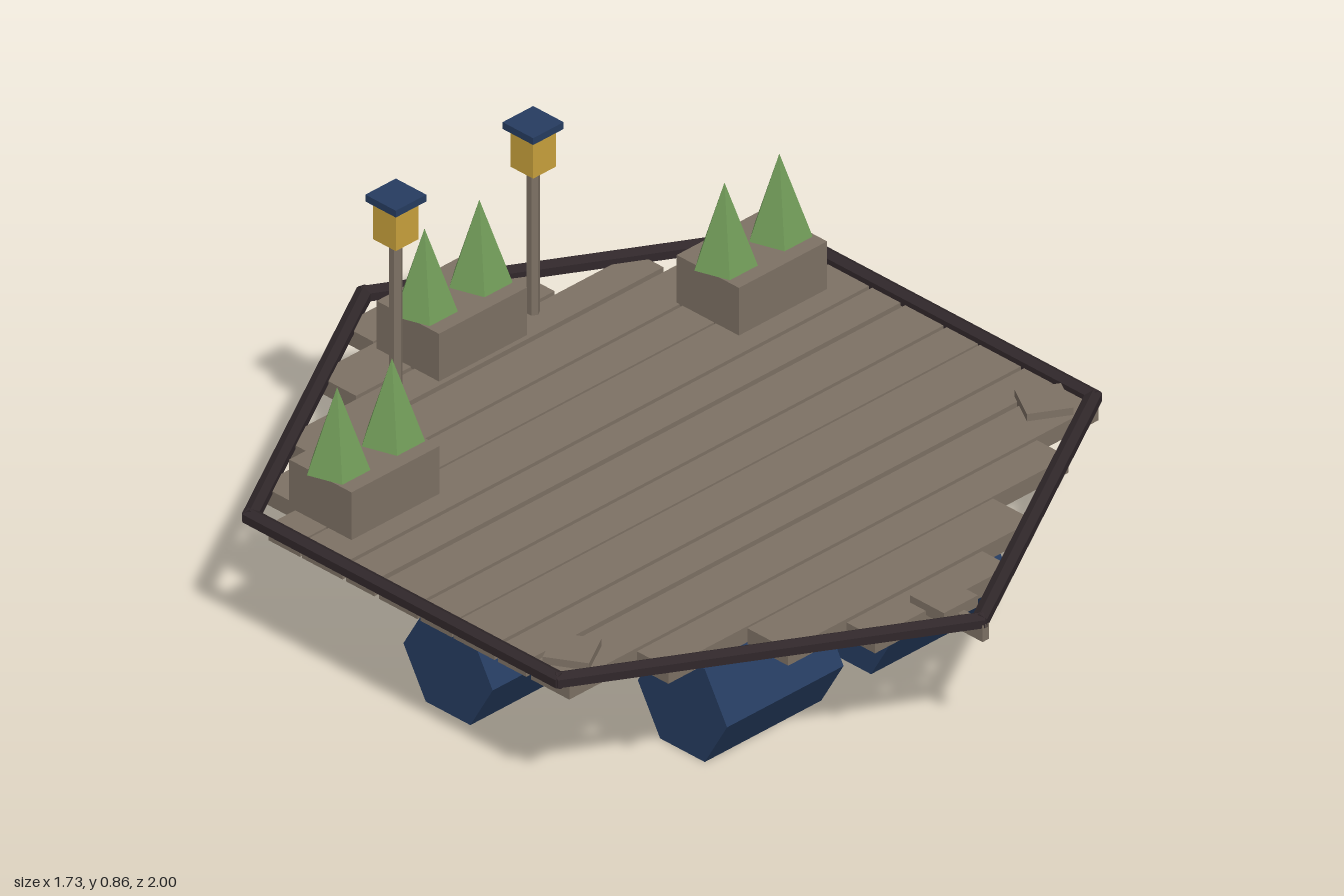
import * as THREE from 'three';

const material = (name, color) => {
  const m = new THREE.MeshStandardMaterial({ color, flatShading: true });
  m.name = name;
  return m;
};

export function createModel() {
  const wood = material('weathered wood', 0x7d7164);
  const rim = material('dark rim', 0x30272a);
  const navy = material('navy', 0x263c60);
  const gold = material('lantern gold', 0xc9a23c);
  const leaf = material('leaf green', 0x709a58);

  const model = new THREE.Group();
  model.name = 'raft';

  const add = (name, geometry, mat, x, y, z, parent = model) => {
    const mesh = new THREE.Mesh(geometry, mat);
    mesh.name = name;
    mesh.position.set(x, y, z);
    parent.add(mesh);
    return mesh;
  };
  const group = (name, x, y, z) => {
    const g = new THREE.Group();
    g.name = name;
    g.position.set(x, y, z);
    model.add(g);
    return g;
  };

  // Deck planks, widths repeating in fours, cut to follow the hexagon
  const plankWidths = [0.1, 0.13, 0.09, 0.122];
  const halfLengths = [0.125, 0.315, 0.56, 0.735, 0.84, 0.84, 0.84, 0.84,
    0.84, 0.84, 0.84, 0.84, 0.635, 0.39, 0.215, 0.01];
  const deckTop = 0.362;
  halfLengths.forEach((half, i) => {
    add('plank', new THREE.BoxGeometry(half * 2, 0.042, plankWidths[i % 4]), wood,
      0, deckTop - 0.021, -0.875 + i * 0.1208);
  });

  // Rim rails along the six sides
  const radius = 0.98;
  for (let i = 0; i < 6; i++) {
    const a = (i + 0.5) * Math.PI / 3 + Math.PI / 6;
    const apothem = radius * Math.cos(Math.PI / 6);
    const side = group('rimSide', Math.cos(a) * apothem, 0.365, Math.sin(a) * apothem);
    side.rotation.y = -a;
    const rail = add('rimRail', new THREE.CylinderGeometry(0.021, 0.021, radius + 0.015, 6), rim, 0, 0, 0, side);
    rail.rotation.x = Math.PI / 2;
  }

  // Corner pads on the front three corners
  for (const deg of [30, 90, 150]) {
    const a = deg * Math.PI / 180;
    const pad = add('cornerPad', new THREE.BoxGeometry(0.108, 0.03, 0.108), wood,
      Math.cos(a) * 0.865, 0.366, Math.sin(a) * 0.865);
    pad.rotation.y = -a;
  }

  // Seven hexagonal floats in rows of two, three and two
  const floatGeometry = new THREE.CylinderGeometry(0.142, 0.142, 0.37, 6);
  floatGeometry.rotateZ(Math.PI / 2);
  const rows = [[-0.483, [-0.264, 0.264]], [0, [-0.526, 0, 0.526]], [0.483, [-0.264, 0.264]]];
  for (const [z, xs] of rows) {
    for (const x of xs) add('float', floatGeometry, navy, x, 0.123, z);
  }

  // Planters with two small trees each
  for (const [x, z] of [[-0.615, -0.362], [0, -0.7], [0.615, -0.362]]) {
    const planter = group('planter', x, 0, z);
    add('planterBox', new THREE.BoxGeometry(0.28, 0.13, 0.198), wood, 0, 0.423, 0, planter);
    for (const s of [-1, 1]) {
      const tree = add('tree', new THREE.ConeGeometry(0.076, 0.212, 5), leaf, s * 0.087, 0.594, 0, planter);
      tree.rotation.y = Math.PI;
    }
  }

  // Lantern posts
  for (const s of [-1, 1]) {
    const lamp = group('lampPost', s * 0.218, 0, -0.66);
    add('post', new THREE.CylinderGeometry(0.016, 0.016, 0.4, 6), wood, 0, 0.55, 0, lamp);
    add('lantern', new THREE.BoxGeometry(0.072, 0.1, 0.072), gold, 0, 0.797, 0, lamp);
    add('lanternCap', new THREE.BoxGeometry(0.097, 0.018, 0.097), navy, 0, 0.856, 0, lamp);
  }

  return model;
}
